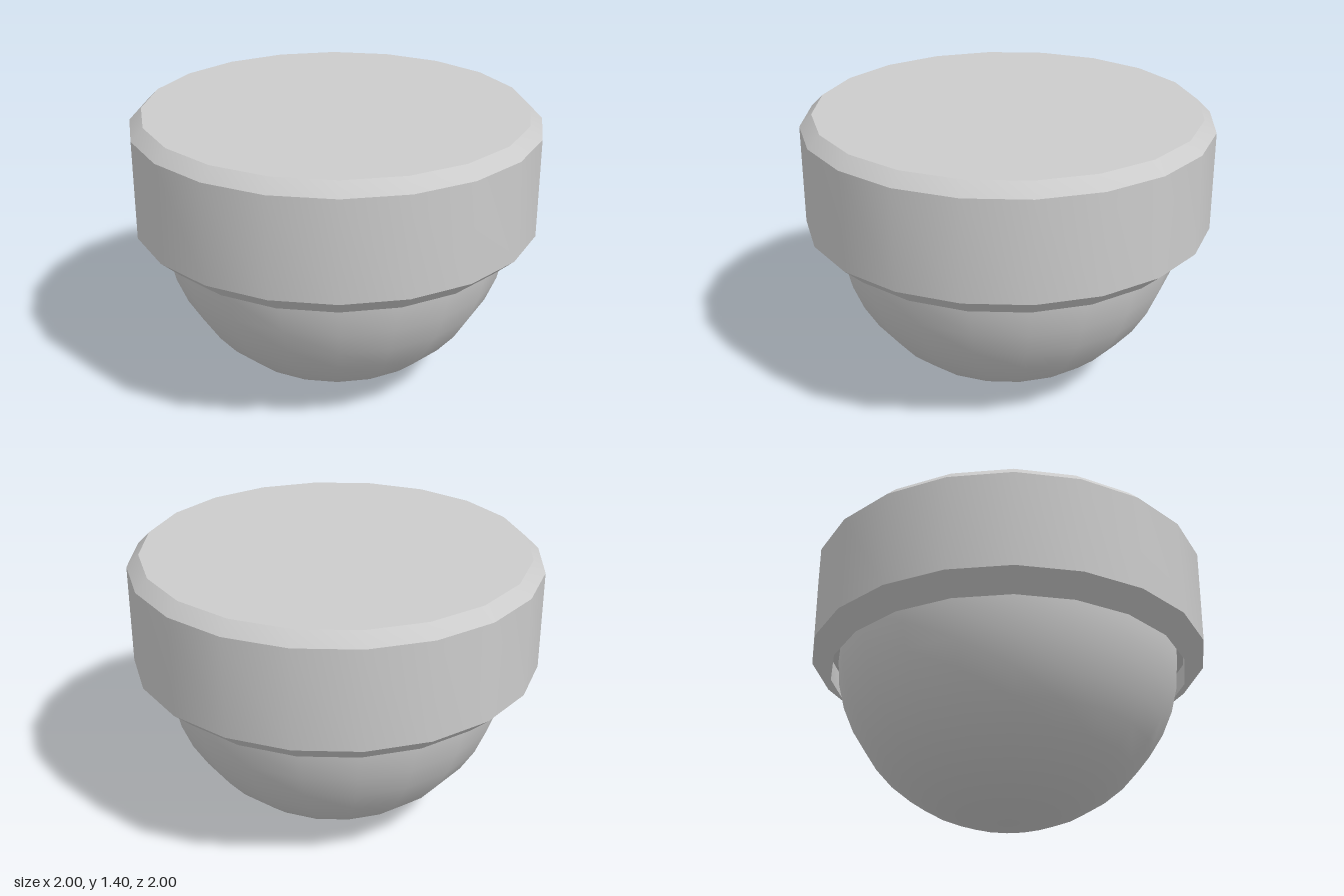
import * as THREE from 'three';
import { toCreasedNormals } from 'three/addons/utils/BufferGeometryUtils.js';

const SIDES = 20;
const DOME_RADIUS = 0.867;

export function createModel() {
  const group = new THREE.Group();
  group.name = 'domeUnit';
  const material = new THREE.MeshStandardMaterial({ color: 0xcccccc });

  // Housing: chamfered drum with a narrow recess around the dome
  const profile = [
    [0.82, 0.87], [0.9, 0.87], [0.9, 0.76], [1, 0.85],
    [1, 1.34], [0.94, 1.4], [0, 1.4],
  ].map(([r, y]) => new THREE.Vector2(r, y));
  const housing = new THREE.Mesh(
    toCreasedNormals(new THREE.LatheGeometry(profile, SIDES), Math.PI / 6),
    material
  );
  housing.name = 'housing';
  group.add(housing);

  // Dome: smooth lower hemisphere seated in the housing
  const dome = new THREE.Mesh(
    new THREE.SphereGeometry(DOME_RADIUS, SIDES, SIDES / 2, 0, Math.PI * 2, Math.PI / 2, Math.PI / 2),
    material
  );
  dome.name = 'dome';
  dome.position.y = DOME_RADIUS;
  group.add(dome);

  return group;
}
